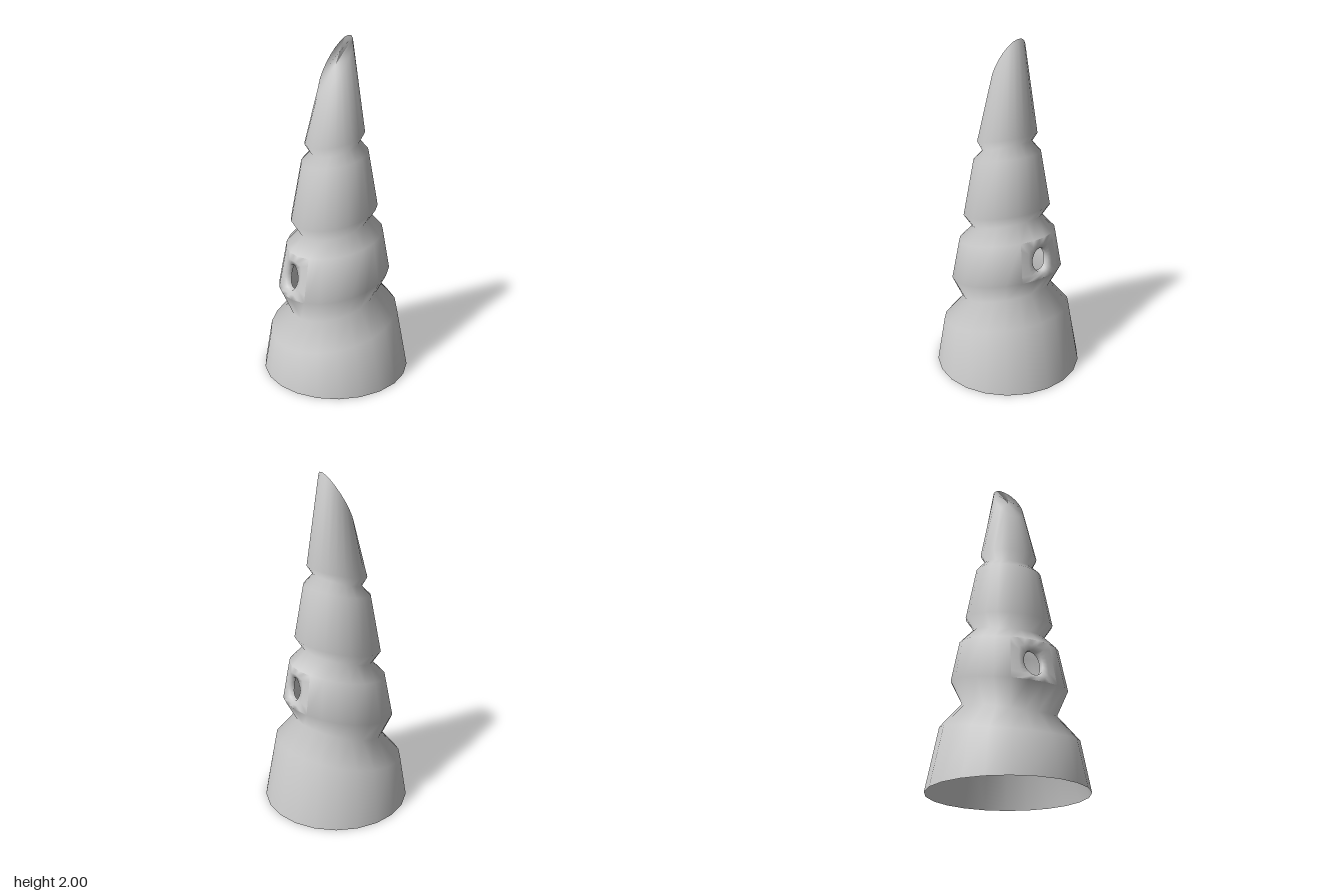
import * as THREE from 'three';
import { mergeVertices } from 'three/addons/utils/BufferGeometryUtils.js';

const SIDES = 22;
const STEP = (Math.PI * 2) / SIDES;
const HOLE_BAND = 3; // the bulge between ring 3 and ring 4 carries the holes

// Tilted rings, bottom to tip: [half width, front z, front y, back z, back y]
const RINGS = [
  [0.445, 0.44, 0, -0.44, 0],
  [0.385, 0.40, 0.24, -0.365, 0.41],
  [0.265, 0.28, 0.385, -0.25, 0.545],
  [0.33, 0.345, 0.53, -0.315, 0.67],
  [0.285, 0.295, 0.785, -0.275, 0.90],
  [0.205, 0.215, 0.87, -0.195, 0.985],
  [0.255, 0.265, 0.945, -0.24, 1.055],
  [0.195, 0.20, 1.29, -0.185, 1.37],
  [0.145, 0.145, 1.345, -0.13, 1.43],
  [0.17, 0.18, 1.40, -0.165, 1.48],
  [0.092, 0.10, 1.69, -0.095, 2.0],
];

// Corner of a ring; u counts facets, with u = 0 in the middle of the front facet
function corner(ring, u) {
  const [rx, zf, yf, zb, yb] = RINGS[ring];
  const a = u * STEP;
  const c = Math.cos(a) / Math.cos(STEP / 2);
  return new THREE.Vector3(
    rx * Math.sin(a),
    (yf + yb) / 2 + ((yf - yb) / 2) * c,
    (zf + zb) / 2 + ((zf - zb) / 2) * c
  );
}

// Point on the faceted surface of a band, t from 0 (lower ring) to 1 (upper ring)
function surface(band, u, t) {
  const k = Math.floor(u - 0.5) + 0.5;
  const along = (ring) => corner(ring, k).lerp(corner(ring, k + 1), u - k);
  return along(band).lerp(along(band + 1), t);
}

// Rings of points around one hole, from the square patch outline to the inner lip
function holeLoops(centre) {
  const perSide = 6, count = perSide * 4;
  const rows = [
    { blend: 0, pull: 1 },
    { blend: 0.6, pull: 1 },
    { blend: 1, pull: 0.965 },
    { blend: 1, pull: 0.87 },
  ];
  return rows.map(({ blend, pull }) => {
    const loop = [];
    for (let j = 0; j < count; j++) {
      const side = Math.floor(j / perSide);
      const s = -1 + (2 * (j % perSide)) / perSide;
      const [sx, sy] = [[1, s], [-s, 1], [-1, -s], [s, -1]][side];
      const phi = (j / count) * Math.PI * 2 - Math.PI / 4;
      const u = THREE.MathUtils.lerp(1.5 * sx, 0.66 * Math.cos(phi), blend);
      const t = THREE.MathUtils.lerp(0.5 + 0.5 * sy, 0.45 + 0.3 * Math.sin(phi), blend);
      const p = surface(HOLE_BAND, centre + u, t);
      p.x *= blend === 1 ? 0.5 + pull / 2 : 1;
      p.z *= pull;
      loop.push(p);
    }
    return loop;
  });
}

function buildGeometry() {
  const positions = [];
  const tri = (...pts) => pts.forEach((p) => positions.push(p.x, p.y, p.z));
  const quad = (a, b, c, d) => { tri(a, b, c); tri(a, c, d); };
  const top = RINGS.length - 1;

  // Stacked bands, leaving three facets free around each hole
  for (let band = 0; band < top; band++) {
    for (let k = 0; k < SIDES; k++) {
      if (band === HOLE_BAND && [0, 1, 10, 11, 12, 21].includes(k)) continue;
      quad(corner(band, k - 0.5), corner(band, k + 0.5),
        corner(band + 1, k + 0.5), corner(band + 1, k - 0.5));
    }
  }

  // Front and back holes with inward lips
  for (const centre of [0, SIDES / 2]) {
    const loops = holeLoops(centre);
    for (let r = 0; r < loops.length - 1; r++) {
      const outer = loops[r], inner = loops[r + 1];
      outer.forEach((p, j) => {
        const n = (j + 1) % outer.length;
        quad(p, outer[n], inner[n], inner[j]);
      });
    }
  }

  // Slanted cut that closes the tip
  const [, zf, yf, zb, yb] = RINGS[top];
  const middle = new THREE.Vector3(0, (yf + yb) / 2, (zf + zb) / 2);
  for (let k = 0; k < SIDES; k++) tri(corner(top, k - 0.5), corner(top, k + 0.5), middle);

  const geometry = new THREE.BufferGeometry();
  geometry.setAttribute('position', new THREE.Float32BufferAttribute(positions, 3));
  const smooth = mergeVertices(geometry, 1e-4);
  smooth.computeVertexNormals();
  return smooth;
}

export function createModel() {
  const group = new THREE.Group();
  group.name = 'spiralHorn';
  const material = new THREE.MeshStandardMaterial({ color: 0xcccccc, side: THREE.DoubleSide });
  const horn = new THREE.Mesh(buildGeometry(), material);
  horn.name = 'hornShell';
  group.add(horn);
  return group;
}
